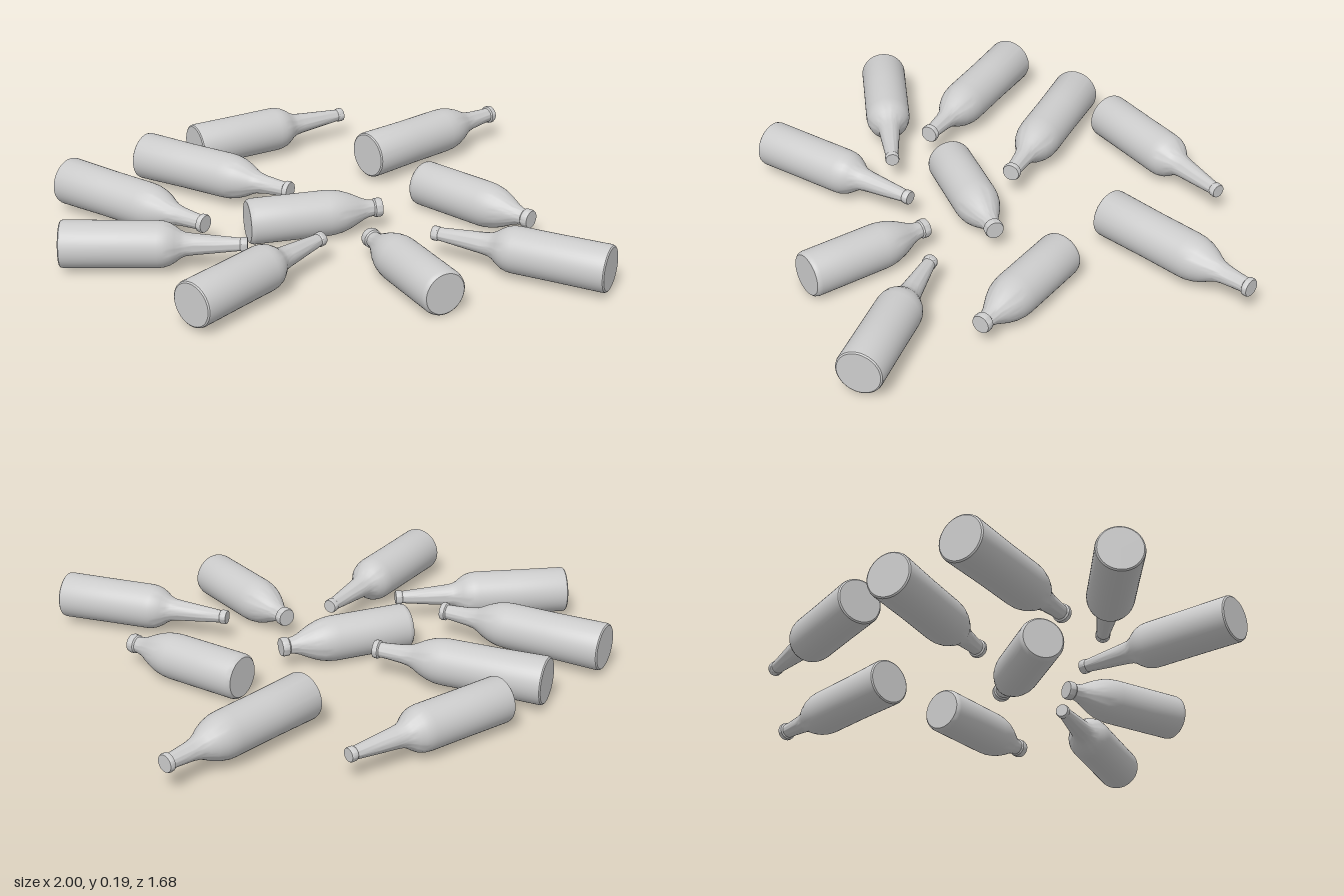
import * as THREE from 'three';
import { toCreasedNormals } from 'three/addons/utils/BufferGeometryUtils.js';

// Profiles as [radius, distance from base]
const PROFILES = {
  longNeck: [
    [0, 0], [0.077, 0], [0.082, 0.004], [0.084, 0.012], [0.083, 0.18], [0.083, 0.34], [0.081, 0.36],
    [0.075, 0.38], [0.063, 0.4], [0.05, 0.417], [0.042, 0.435], [0.038, 0.465], [0.031, 0.54],
    [0.023, 0.625], [0.026, 0.629], [0.026, 0.645], [0.024, 0.65], [0, 0.65]],
  wideNeck: [
    [0, 0], [0.08, 0], [0.085, 0.004], [0.087, 0.012], [0.084, 0.2], [0.084, 0.37], [0.082, 0.4],
    [0.075, 0.43], [0.063, 0.46], [0.049, 0.485], [0.04, 0.505], [0.034, 0.535], [0.029, 0.59],
    [0.027, 0.622], [0.033, 0.626], [0.034, 0.638], [0.031, 0.645], [0, 0.645]],
  stubby: [
    [0, 0], [0.074, 0], [0.08, 0.006], [0.083, 0.018], [0.083, 0.15], [0.083, 0.29], [0.081, 0.315],
    [0.075, 0.345], [0.064, 0.375], [0.051, 0.402], [0.039, 0.425], [0.032, 0.445], [0.029, 0.464],
    [0.034, 0.469], [0.035, 0.486], [0.032, 0.495], [0, 0.495]],
};
const AXIS_HEIGHT = { longNeck: 0.103, wideNeck: 0.109, stubby: 0.088 };

// Each bottle: type, base x and z, mouth x and z
const BOTTLES = [
  ['longNeck', -0.508, -0.497, 0.056, -0.82],
  ['longNeck', -0.92, 0.345, -0.265, 0.345],
  ['longNeck', -0.43, 0.786, -0.013, 0.297],
  ['longNeck', 0.96, 0.52, 0.382, 0.25],
  ['wideNeck', 0.155, -0.404, 0.65, -0.816],
  ['wideNeck', -0.69, -0.4, -0.131, -0.083],
  ['wideNeck', -0.955, -0.171, -0.42, 0.2],
  ['stubby', -0.278, 0.136, 0.2, 0.008],
  ['stubby', 0.355, -0.209, 0.733, 0.11],
  ['stubby', 0.4, 0.676, 0.155, 0.249],
];

// Turned bottle, centred along its own axis
function bottleGeometry(profile) {
  const length = profile[profile.length - 1][1];
  const points = profile.map(([r, y]) => new THREE.Vector2(r, y - length / 2));
  return toCreasedNormals(new THREE.LatheGeometry(points, 48), 0.65);
}

export function createModel() {
  const group = new THREE.Group();
  group.name = 'scatteredBottles';
  const material = new THREE.MeshStandardMaterial({ color: 0xcccccc });
  const geometries = {};
  for (const type in PROFILES) geometries[type] = bottleGeometry(PROFILES[type]);

  // Lay each bottle down from base to mouth
  const up = new THREE.Vector3(0, 1, 0);
  BOTTLES.forEach(([type, bx, bz, mx, mz], i) => {
    const bottle = new THREE.Mesh(geometries[type], material);
    bottle.name = `${type}Bottle${i + 1}`;
    const direction = new THREE.Vector3(mx - bx, 0, mz - bz).normalize();
    bottle.quaternion.setFromUnitVectors(up, direction);
    bottle.position.set((bx + mx) / 2, AXIS_HEIGHT[type], (bz + mz) / 2);
    group.add(bottle);
  });
  return group;
}
